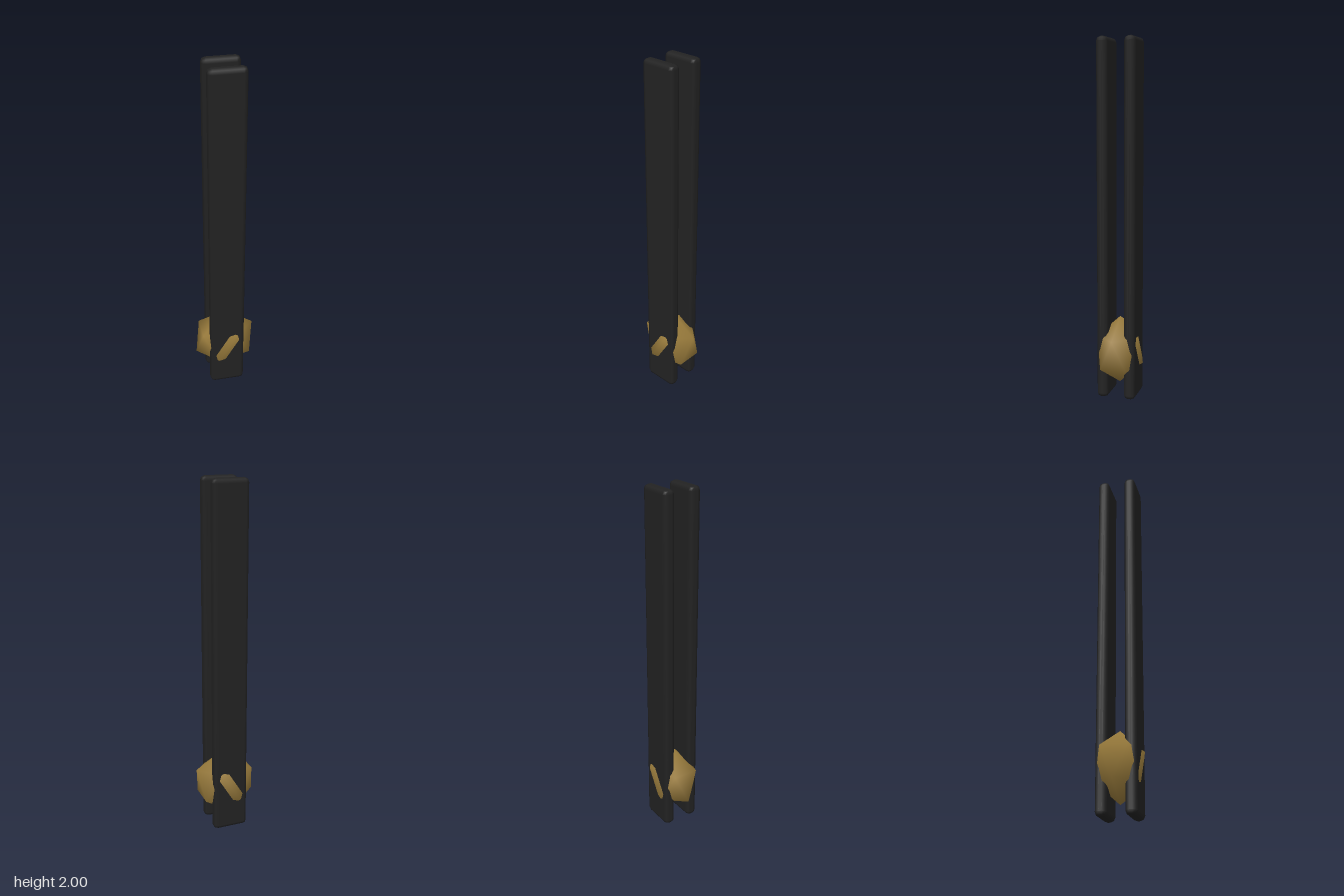
import * as THREE from 'three';
import { mergeVertices } from 'three/addons/utils/BufferGeometryUtils.js';
import { RoundedBoxGeometry } from 'three/addons/geometries/RoundedBoxGeometry.js';

export function createModel() {
  const model = new THREE.Group();
  const dark = new THREE.MeshStandardMaterial({ color: 0x222222 });
  const gold = new THREE.MeshStandardMaterial({ color: 0x9a7c3c });

  // Two parallel bars with softly bevelled edges
  const barGeometry = new RoundedBoxGeometry(0.204, 2, 0.065, 1, 0.025);
  for (const [name, side] of [['frontBar', 1], ['backBar', -1]]) {
    const bar = new THREE.Mesh(barGeometry, dark);
    bar.name = name;
    bar.position.set(0, 1, side * 0.078);
    model.add(bar);
  }

  // Tilted, flattened icosahedral core joining the bars, with smooth normals
  let coreGeometry = new THREE.IcosahedronGeometry(0.193, 0);
  coreGeometry.deleteAttribute('normal');
  coreGeometry.deleteAttribute('uv');
  coreGeometry = mergeVertices(coreGeometry);
  coreGeometry.computeVertexNormals();
  const core = new THREE.Mesh(coreGeometry, gold);
  core.name = 'core';
  core.scale.z = 0.73;
  core.rotation.z = THREE.MathUtils.degToRad(-31);
  core.position.y = 0.263;
  model.add(core);

  return model;
}
